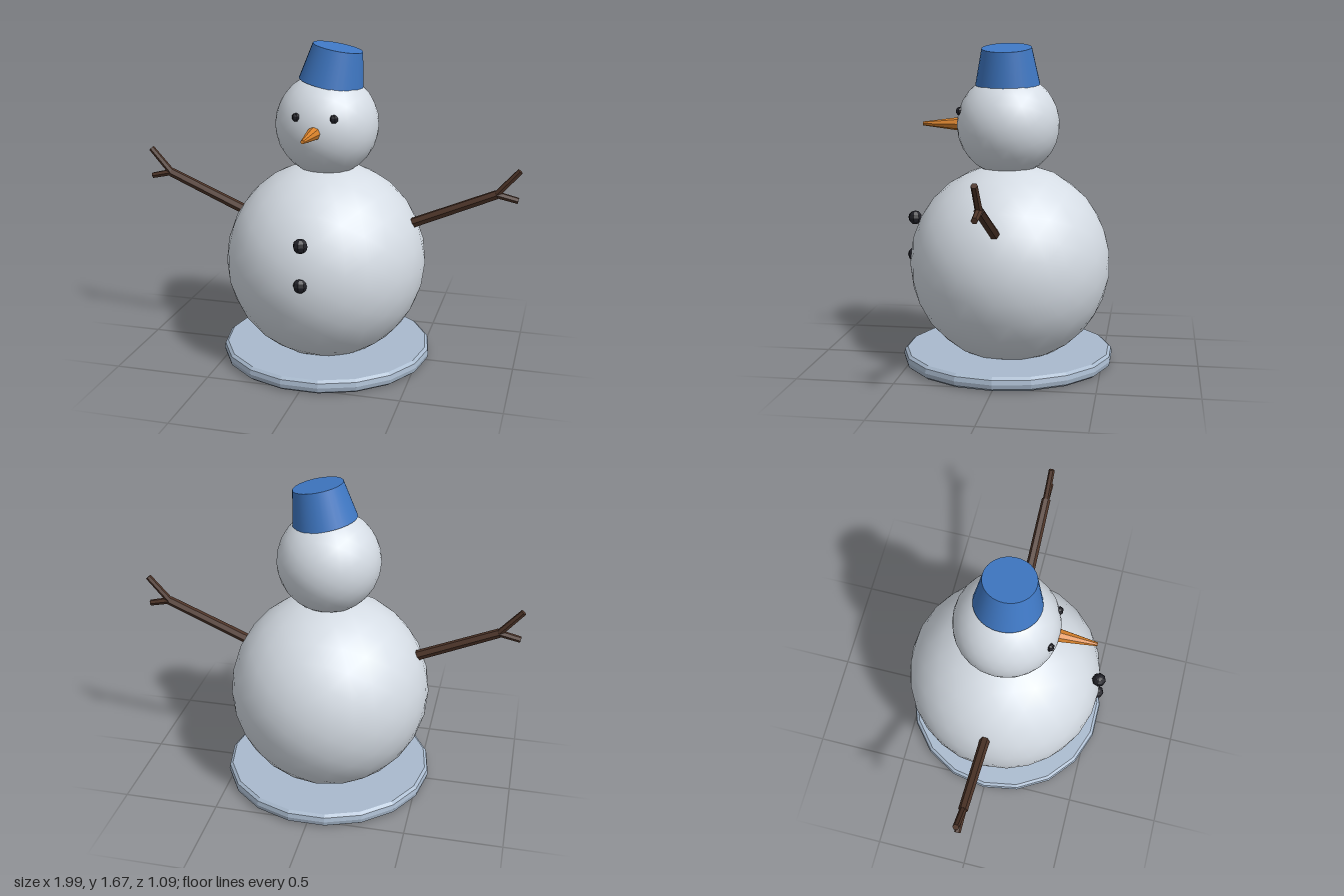
import * as THREE from 'three';

const paint = (color, flatShading = false) => {
  const material = new THREE.MeshStandardMaterial({ flatShading });
  material.color.set(color);
  return material;
};

const snow = paint(0xd5dce4);
const ice = paint(0xa9bace, true);
const coal = paint(0x202027, true);
const wood = paint(0x4d3428, true);
const carrot = paint(0xd9822b, true);
const bucketBlue = paint(0x3f78c4);

function add(parent, name, geometry, material, x = 0, y = 0, z = 0) {
  const mesh = new THREE.Mesh(geometry, material);
  mesh.name = name;
  mesh.position.set(x, y, z);
  parent.add(mesh);
  return mesh;
}

// Six-sided stick between two points in the x-y plane
function stick(parent, name, from, to, r0, r1) {
  const a = new THREE.Vector3(...from, 0);
  const b = new THREE.Vector3(...to, 0);
  const mesh = add(parent, name, new THREE.CylinderGeometry(r1, r0, a.distanceTo(b), 6), wood);
  mesh.position.copy(a).add(b).multiplyScalar(0.5);
  mesh.quaternion.setFromUnitVectors(new THREE.Vector3(0, 1, 0), b.sub(a).normalize());
}

export function createModel() {
  const model = new THREE.Group();
  model.name = 'snowman';

  // Ice slab with a rounded rim, 18 sides
  const rim = [[0, 0], [0.535, 0], [0.55, 0.012], [0.555, 0.035], [0.55, 0.058], [0.535, 0.07], [0, 0.07]];
  const profile = rim.map(([x, y]) => new THREE.Vector2(x, y));
  add(model, 'base', new THREE.LatheGeometry(profile, 18, Math.PI / 2), ice);

  // Snowballs
  add(model, 'body', new THREE.IcosahedronGeometry(0.525, 4), snow, -0.008, 0.525, -0.008);
  add(model, 'head', new THREE.IcosahedronGeometry(0.266, 4), snow, 0, 1.25, 0);

  // Tilted bucket hat
  const hat = add(model, 'bucketHat', new THREE.CylinderGeometry(0.128, 0.166, 0.187, 32), bucketBlue, 0.038, 1.55, 0);
  hat.rotation.z = -0.19;

  // Carrot nose
  const nose = add(model, 'nose', new THREE.CylinderGeometry(0.01, 0.037, 0.21, 8), carrot, 0, 1.25, 0.345);
  nose.rotation.x = Math.PI / 2;

  // Coal buttons
  for (const [y, z] of [[0.75, 0.5], [0.55, 0.505]]) {
    add(model, 'button', new THREE.SphereGeometry(0.037, 8, 6), coal, 0, y, z);
  }

  // Eyes and branch arms, mirrored
  for (const s of [1, -1]) {
    const side = s > 0 ? 'left' : 'right';
    add(model, side + 'Eye', new THREE.SphereGeometry(0.022, 6, 5), coal, s * 0.096, 1.322, 0.235);

    const arm = new THREE.Group();
    arm.name = side + 'Arm';
    model.add(arm);
    stick(arm, 'branch', [s * 0.43, 0.745], [s * 0.875, 0.936], 0.027, 0.024);
    stick(arm, 'upperTwig', [s * 0.868, 0.93], [s * 0.985, 1.063], 0.018, 0.016);
    stick(arm, 'lowerTwig', [s * 0.865, 0.938], [s * 0.983, 0.911], 0.018, 0.016);
  }

  return model;
}
